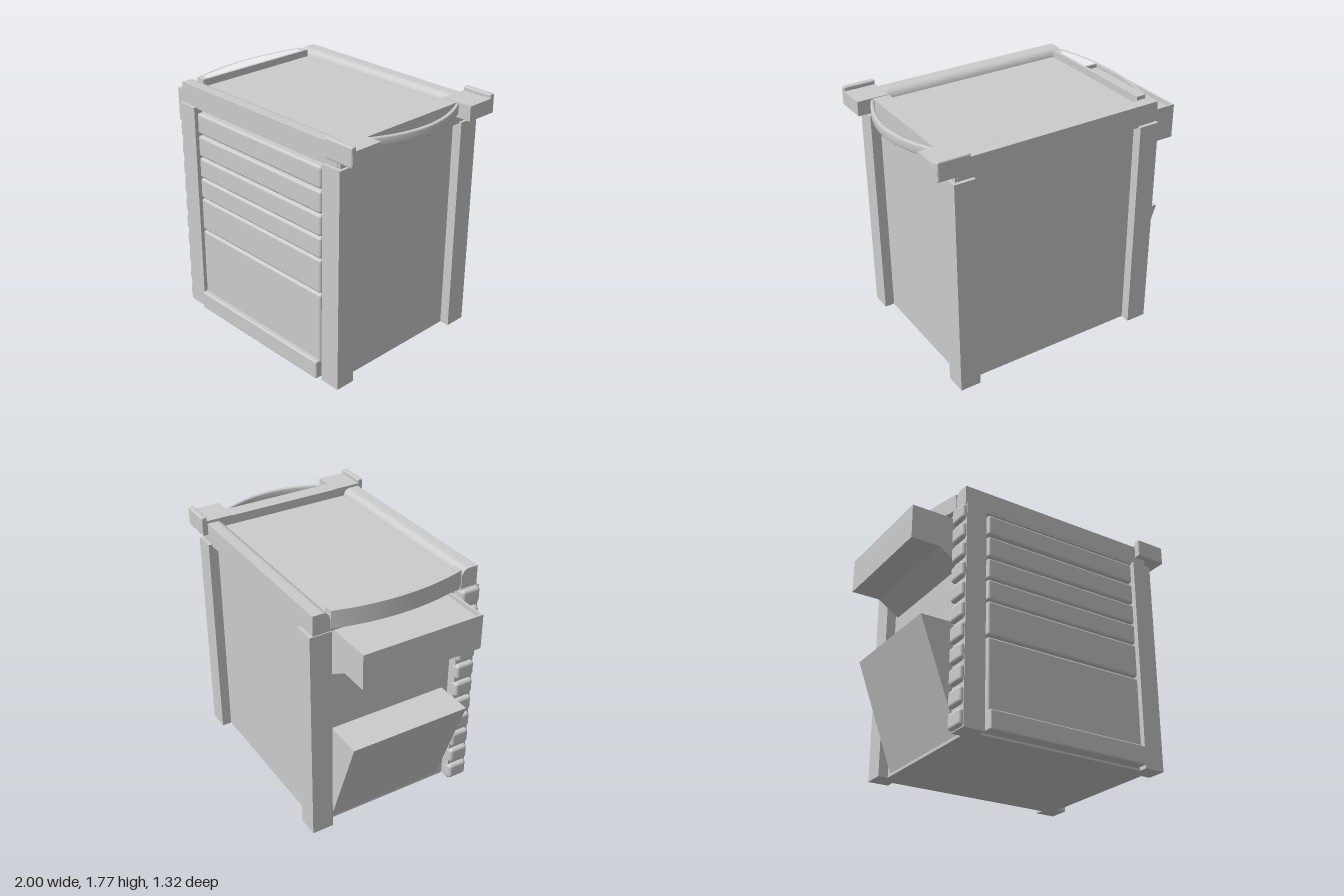
import * as THREE from 'three';
import { toCreasedNormals } from 'three/addons/utils/BufferGeometryUtils.js';
import { RoundedBoxGeometry } from 'three/addons/geometries/RoundedBoxGeometry.js';

const ZC = -0.01; // depth centre of the cabinet body

export function createModel() {
  const root = new THREE.Group();
  const mat = new THREE.MeshStandardMaterial({ color: 0xcccccc });

  const add = (name, geo) => {
    const mesh = new THREE.Mesh(geo, mat);
    mesh.name = name;
    root.add(mesh);
    return mesh;
  };
  // Box given by its limits, with optional rounded edges
  const box = (name, x0, x1, y0, y1, z0, z1, r = 0) => {
    const s = [x1 - x0, y1 - y0, z1 - z0];
    const geo = r ? new RoundedBoxGeometry(...s, 3, r) : new THREE.BoxGeometry(...s);
    geo.translate((x0 + x1) / 2, (y0 + y1) / 2, (z0 + z1) / 2);
    return add(name, geo);
  };
  const polygon = (pts) => new THREE.Shape(pts.map((p) => new THREE.Vector2(...p)));
  // Side profile in x and y, swept from z0 to z1
  const sweepZ = (name, pts, z0, z1) => {
    const geo = new THREE.ExtrudeGeometry(polygon(pts), { depth: z1 - z0, bevelEnabled: false });
    add(name, geo.translate(0, 0, z0));
  };
  // Plan outline in x and z, filling the height y0 to y1
  const sweepY = (name, shape, y0, y1, bevel = 0) => {
    const geo = new THREE.ExtrudeGeometry(shape, {
      depth: y1 - y0 - 2 * bevel, bevelEnabled: bevel > 0, bevelSize: bevel,
      bevelThickness: bevel, bevelOffset: -bevel, bevelSegments: 3,
    });
    geo.rotateX(Math.PI / 2).translate(0, y1 - bevel, 0);
    add(name, toCreasedNormals(geo, 0.6));
  };
  // Points of a shallow bow: x at the ends, x at the middle, half length
  const bow = (xEnd, xMid, half, n = 28) => Array.from({ length: n + 1 }, (_, i) => {
    const t = (i / n) * 2 - 1;
    return [xEnd + (xMid - xEnd) * (1 - t * t), ZC + half * t];
  });

  // Cabinet core with recessed sides
  box('cabinetBody', -0.63, 0.79, 0, 1.57, -0.575, 0.56);

  // Corner posts
  for (const [x0, x1] of [[-0.7, -0.55], [0.71, 0.86]]) {
    box('frontPost', x0, x1, 0, 1.575, 0.48, 0.625);
    box('backPost', x0, x1, 0, 1.575, -0.645, -0.49);
  }

  // Drawer fronts, from top to bottom
  const drawers = [[1.395, 1.545], [1.225, 1.38], [1.065, 1.215], [0.907, 1.057], [0.655, 0.9], [0.02, 0.645]];
  for (const [y0, y1] of drawers) box('drawerFront', -0.53, 0.69, y0, y1, 0.52, 0.62, 0.018);
  box('kickPlate', -0.53, 0.69, 0.01, 0.145, 0.56, 0.657, 0.012);

  // Row of rounded bumpers on the side of the front left-hand post
  for (let i = 0; i < 11; i++) {
    const y = 0.065 + i * 0.145;
    box('sideBumper', -0.732, -0.66, y - 0.058, y + 0.058, 0.475, 0.62, 0.024);
  }

  // Work top with a sunken tray floor
  box('topSlab', -0.68, 0.84, 1.565, 1.67, -0.62, 0.6);

  // Side rails, rounded towards the tray
  for (const side of [1, -1]) {
    const s = new THREE.Shape();
    const u = (v) => -(ZC + side * v);
    s.moveTo(u(0.613), 1.58);
    s.lineTo(u(0.613), 1.72);
    s.lineTo(u(0.55), 1.72);
    s.quadraticCurveTo(u(0.5), 1.72, u(0.49), 1.665);
    s.lineTo(u(0.49), 1.58);
    const geo = new THREE.ExtrudeGeometry(s, { depth: 1.52, bevelEnabled: false, curveSegments: 8 });
    geo.rotateY(Math.PI / 2).translate(-0.7, 0, 0);
    add(side > 0 ? 'frontRail' : 'backRail', toCreasedNormals(geo, 0.6));
  }

  // Bowed end of the top with a narrow trough
  const outline = [...bow(-0.7, -0.77, 0.485), [-0.63, ZC + 0.485], [-0.63, ZC - 0.485]];
  const end = polygon(outline);
  end.holes.push(polygon([...bow(-0.69, -0.752, 0.44), [-0.65, ZC + 0.44], [-0.65, ZC - 0.44]]));
  sweepY('bowedEndRim', end, 1.6, 1.72);
  sweepY('bowedEndFloor', polygon(outline), 1.595, 1.65);

  // Handle mount: cross bar and two corner brackets with raised outer lips
  box('handleCrossBar', 0.75, 0.865, 1.635, 1.735, -0.63, 0.61);
  for (const side of [1, -1]) {
    const span = (a, b) => [ZC + side * a, ZC + side * b].sort((p, q) => p - q);
    box('handleBracket', 0.75, 0.977, 1.635, 1.738, ...span(0.415, 0.65));
    box('bracketLip', 0.75, 0.977, 1.635, 1.768, ...span(0.615, 0.655), 0.01);
  }

  // Bowed push handle
  const grip = polygon([...bow(0.875, 0.998, 0.425), ...bow(0.855, 0.968, 0.415).reverse()]);
  sweepY('pushHandle', grip, 1.662, 1.73, 0.008);

  // Upper side bin with a thin rim
  sweepZ('sideBin', [[-1, 1.31], [-0.79, 1.31], [-0.62, 1.2], [-0.62, 1.53], [-1, 1.53]], -0.455, 0.43);
  box('binOuterRim', -1, -0.982, 1.53, 1.558, -0.455, 0.43);
  box('binFrontRim', -0.982, -0.62, 1.53, 1.558, 0.412, 0.43);
  box('binBackRim', -0.982, -0.62, 1.53, 1.558, -0.455, -0.437);

  // Lower wedge-shaped pocket
  sweepZ('sidePocket', [[-0.91, 0.78], [-0.63, 0.02], [-0.62, 0.02], [-0.62, 0.78]], -0.455, 0.43);

  return root;
}
